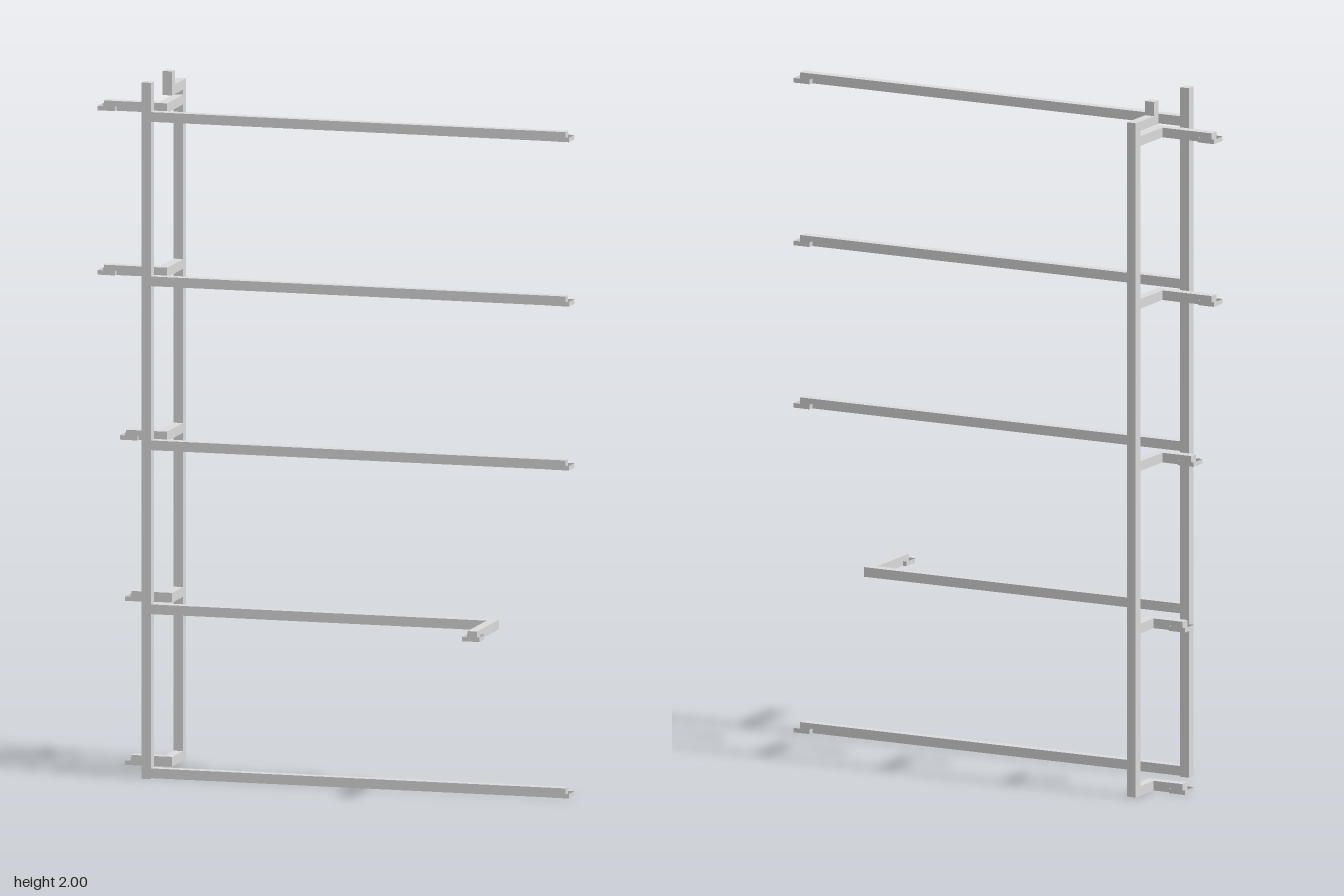
import * as THREE from 'three';

const T = 0.028; // square tube thickness
const steel = new THREE.MeshStandardMaterial({ color: 0xdbdbdb, side: THREE.DoubleSide });
steel.name = 'light grey steel';

export function createModel() {
  const model = new THREE.Group();
  model.name = 'wall frame';

  // square tube running along one axis between two centreline points
  const tube = (name, parent, a, b) => {
    const size = a.map((v, i) => Math.abs(b[i] - v) + T);
    const mesh = new THREE.Mesh(new THREE.BoxGeometry(...size), steel);
    mesh.position.set(...a.map((v, i) => (v + b[i]) / 2));
    mesh.name = name;
    parent.add(mesh);
  };

  // open square collar, only thin upright walls
  const collarShape = new THREE.CylinderGeometry(0.0365, 0.0365, 0.013, 4, 1, true)
    .rotateY(Math.PI / 4).toNonIndexed();
  collarShape.computeVertexNormals();
  const collar = (parent, x, y, z) => {
    const mesh = new THREE.Mesh(collarShape, steel);
    mesh.position.set(x, y - 0.007, z);
    mesh.name = 'endCollar';
    parent.add(mesh);
  };

  const X = -0.535, ZF = 0.056, ZB = -0.26;
  const levels = [0.017, 0.488, 0.959, 1.43, 1.902];

  // front post with long rails
  const front = new THREE.Group();
  front.name = 'frontFrame';
  tube('frontPost', front, [X, T / 2, ZF], [X, 2 - T / 2, ZF]);
  levels.forEach((y, i) => {
    if (i === 1) {
      // shorter rail that turns forward
      tube('shortRail', front, [X, y, ZF], [0.485, y, ZF]);
      tube('railReturn', front, [0.485, y, ZF], [0.485, y, 0.246]);
      collar(front, 0.485, y, 0.248);
    } else {
      tube('longRail', front, [X, y, ZF], [0.69, y, ZF]);
      collar(front, 0.691, y, 0.05);
    }
  });

  // rear post with angled arms
  const rear = new THREE.Group();
  rear.name = 'rearFrame';
  tube('rearPost', rear, [X, 0.017, ZB], [X, 1.945, ZB]);
  tube('topArm', rear, [X, 1.945, ZB], [X, 1.945, -0.152]);
  tube('topStub', rear, [X, 1.945, -0.152], [X, 2 - T / 2, -0.152]);
  levels.forEach((y, i) => {
    const z = i < 2 ? -0.153 : -0.102;
    const x = i < 3 ? -0.628 : -0.694;
    tube('armForward', rear, [X, y, ZB], [X, y, z]);
    tube('armOutward', rear, [X, y, z], [x, y, z]);
    collar(rear, x - 0.003, y, z - 0.001);
  });

  model.add(front, rear);
  return model;
}
